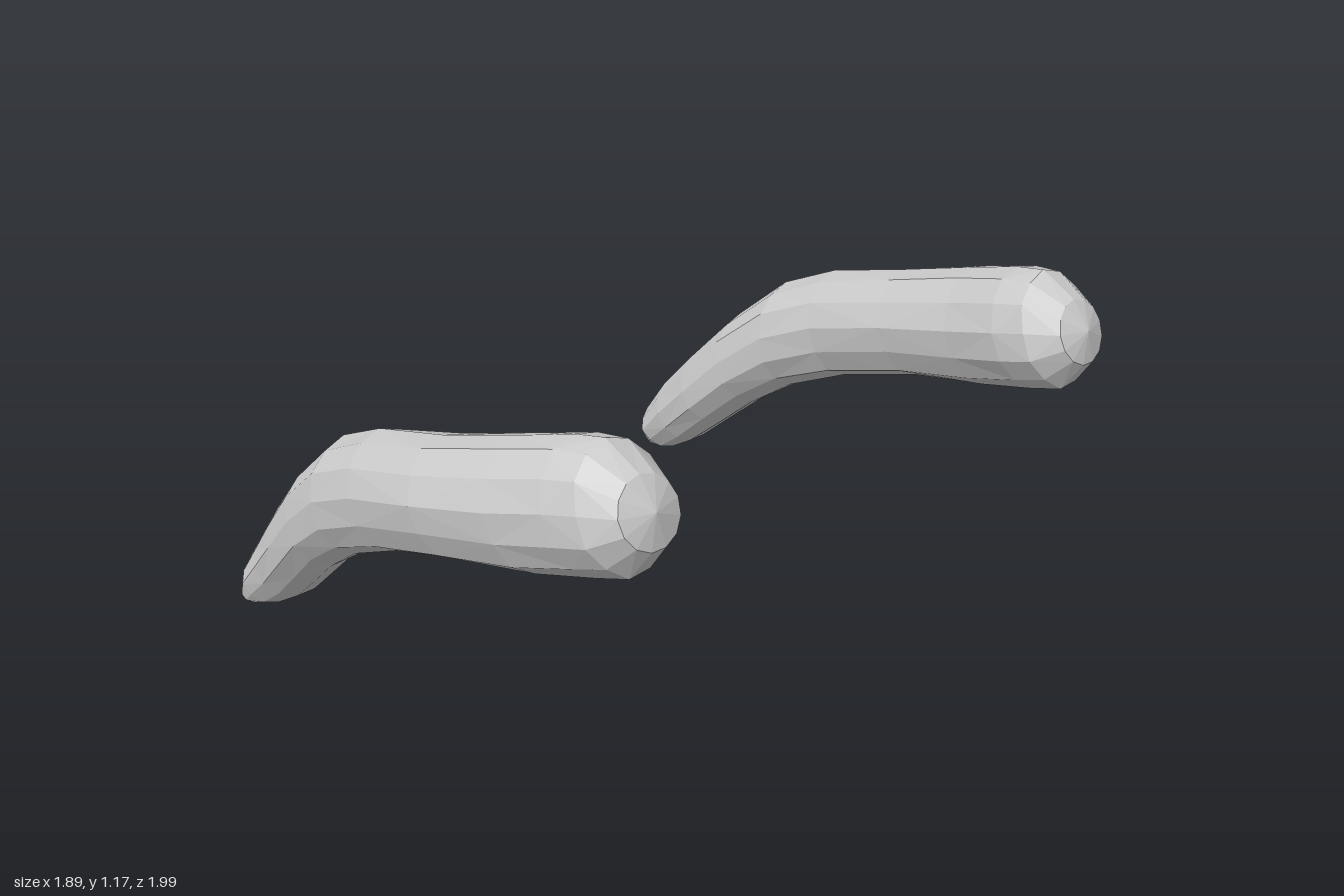
import * as THREE from 'three';

const SIDES = 13;

// Side profile of one curved grip: [topX, topY, bottomX, bottomY] per cross-section
const PROFILE = [
  [-0.925, 0.06, -0.86, 0.00],
  [-0.91, 0.15, -0.79, 0.025],
  [-0.81, 0.285, -0.69, 0.09],
  [-0.68, 0.43, -0.55, 0.21],
  [-0.50, 0.62, -0.40, 0.34],
  [-0.30, 0.79, -0.23, 0.46],
  [-0.10, 0.89, 0.00, 0.57],
  [0.20, 0.99, 0.30, 0.68],
  [0.47, 1.085, 0.58, 0.755],
  [0.66, 1.15, 0.78, 0.825],
  [0.76, 1.172, 0.885, 0.865],
  [0.87, 1.12, 0.94, 0.95],
];

// Depth range [zMin, zMax] of each cross-section
const FRONT_DEPTH = [
  [0.74, 0.895], [0.69, 0.907], [0.655, 0.915], [0.67, 0.935], [0.69, 0.96], [0.70, 0.98],
  [0.705, 0.988], [0.708, 0.993], [0.68, 0.965], [0.65, 0.935], [0.645, 0.915], [0.68, 0.86],
];
const BACK_DEPTH = [
  [-0.89, -0.75], [-0.93, -0.70], [-0.94, -0.685], [-0.955, -0.675], [-0.97, -0.68], [-0.985, -0.69],
  [-1.0, -0.70], [-0.993, -0.69], [-0.98, -0.67], [-0.955, -0.64], [-0.92, -0.645], [-0.87, -0.70],
];

function gripGeometry(depth, dx, dy) {
  const pos = [];
  const index = [];
  // Elliptical rings, tilted to follow the bend
  PROFILE.forEach(([tx, ty, bx, by], i) => {
    const [z0, z1] = depth[i];
    for (let j = 0; j < SIDES; j++) {
      const a = (j / SIDES) * Math.PI * 2;
      const c = Math.cos(a) / 2;
      const s = Math.sin(a) / 2;
      // slight hand-carved unevenness, kept away from the ends
      const k = i > 0 && i < PROFILE.length - 1 ? 1 + 0.02 * Math.sin(i * 5.3 + j * 2.9) : 1;
      pos.push(
        (tx + bx) / 2 + (tx - bx) * c * k + dx,
        Math.max(0, (ty + by) / 2 + (ty - by) * c * k + dy),
        (z0 + z1) / 2 + (z1 - z0) * s * k
      );
    }
  });
  // Skin between rings, alternating the diagonals
  for (let i = 0; i < PROFILE.length - 1; i++) {
    for (let j = 0; j < SIDES; j++) {
      const a = i * SIDES + j;
      const b = i * SIDES + ((j + 1) % SIDES);
      const c = a + SIDES;
      const d = b + SIDES;
      if ((i + j) % 2) index.push(a, b, c, b, d, c);
      else index.push(a, b, d, a, d, c);
    }
  }
  // Blunt end caps
  const last = (PROFILE.length - 1) * SIDES;
  const zMid = (r) => (r[0] + r[1]) / 2;
  const start = pos.length / 3;
  pos.push(-0.91 + dx, 0.025 + dy, zMid(depth[0]));
  pos.push(0.93 + dx, 1.045 + dy, zMid(depth[depth.length - 1]));
  for (let j = 0; j < SIDES; j++) {
    const n = (j + 1) % SIDES;
    index.push(start, n, j);
    index.push(start + 1, last + j, last + n);
  }
  const geo = new THREE.BufferGeometry();
  geo.setAttribute('position', new THREE.Float32BufferAttribute(pos, 3));
  geo.setIndex(index);
  geo.computeVertexNormals();
  return geo;
}

export function createModel() {
  const group = new THREE.Group();
  const material = new THREE.MeshStandardMaterial({ color: 0xcccccc, flatShading: true });

  const front = new THREE.Mesh(gripGeometry(FRONT_DEPTH, 0, 0), material);
  front.name = 'frontGrip';
  const back = new THREE.Mesh(gripGeometry(BACK_DEPTH, -0.022, 0), material);
  back.name = 'backGrip';

  group.add(front, back);
  return group;
}
